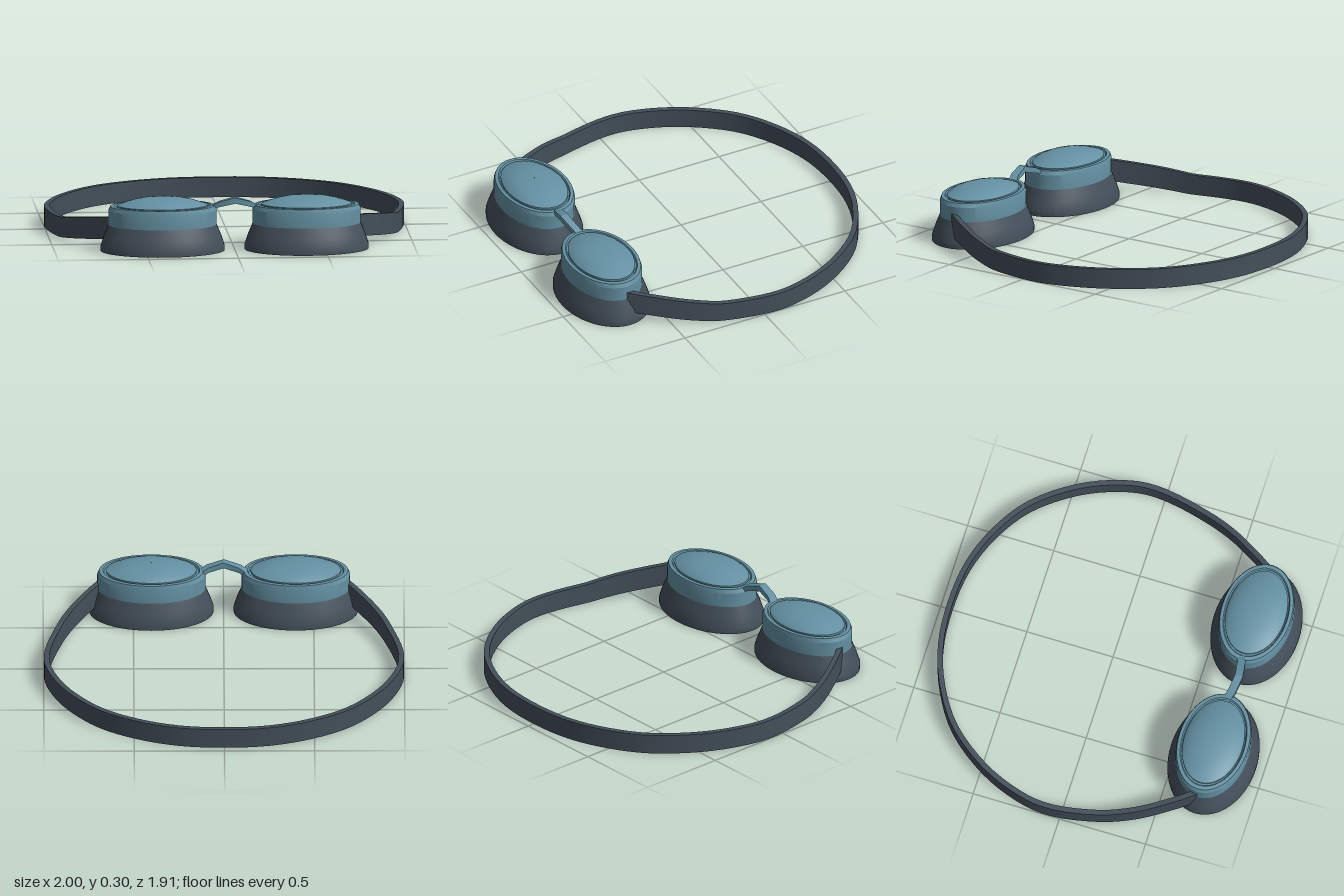
import * as THREE from 'three';
import { toCreasedNormals } from 'three/addons/utils/BufferGeometryUtils.js';

const SEGMENTS = 48;

function build(positions, indices, crease) {
  const g = new THREE.BufferGeometry();
  g.setAttribute('position', new THREE.Float32BufferAttribute(positions, 3));
  g.setIndex(indices);
  return toCreasedNormals(g, crease);
}

// Skin elliptical rings [rx, rz, y]; the outside of the profile runs upward
function ovalLoft(rings) {
  const pos = [], idx = [];
  for (const [rx, rz, y] of rings) {
    for (let j = 0; j < SEGMENTS; j++) {
      const a = (j / SEGMENTS) * Math.PI * 2;
      pos.push(rx * Math.cos(a), y, rz * Math.sin(a));
    }
  }
  for (let i = 0; i < rings.length - 1; i++) {
    for (let j = 0; j < SEGMENTS; j++) {
      const k = (j + 1) % SEGMENTS;
      const a = i * SEGMENTS + j, c = i * SEGMENTS + k;
      const b = a + SEGMENTS, d = c + SEGMENTS;
      idx.push(a, b, c, b, d, c);
    }
  }
  return build(pos, idx, 0.35);
}

// Upright rectangular band along stations { p, bottom, top }, p being (x, z)
function band(stations, thickness) {
  const pos = [], idx = [], n = stations.length, h = thickness / 2;
  stations.forEach(({ p, bottom, top }, i) => {
    const t = stations[Math.min(i + 1, n - 1)].p.clone()
      .sub(stations[Math.max(i - 1, 0)].p).normalize();
    const nx = t.y * h, nz = -t.x * h;
    pos.push(p.x - nx, bottom, p.y - nz, p.x + nx, bottom, p.y + nz,
      p.x + nx, top, p.y + nz, p.x - nx, top, p.y - nz);
  });
  for (let i = 0; i < n - 1; i++) {
    for (let j = 0; j < 4; j++) {
      const a = i * 4 + j, b = i * 4 + (j + 1) % 4;
      idx.push(a, b, a + 4, b, b + 4, a + 4);
    }
  }
  const e = (n - 1) * 4;
  idx.push(0, 2, 1, 0, 3, 2, e, e + 1, e + 2, e, e + 2, e + 3);
  return build(pos, idx, 0.5);
}

export function createModel() {
  const model = new THREE.Group();
  const rubber = new THREE.MeshStandardMaterial({ color: 0x434f5a });
  rubber.name = 'dark rubber';
  const plastic = new THREE.MeshStandardMaterial({ color: 0x6491a3 });
  plastic.name = 'blue plastic';

  const add = (parent, name, geometry, material) => {
    const mesh = new THREE.Mesh(geometry, material);
    mesh.name = name;
    parent.add(mesh);
  };

  // Flared eye seal, hollow through the middle
  const seal = ovalLoft([
    [0.285, 0.185, 0], [0.345, 0.245, 0], [0.345, 0.245, 0.025],
    [0.325, 0.225, 0.085], [0.3, 0.2, 0.145],
    [0.265, 0.165, 0.145], [0.285, 0.185, 0],
  ]);

  // Frame shell with a raised rim and recessed step
  const frame = ovalLoft([
    [0.265, 0.165, 0.145], [0.3, 0.2, 0.145], [0.3, 0.2, 0.228],
    [0.29, 0.194, 0.25], [0.268, 0.176, 0.252], [0.262, 0.17, 0.243],
    [0.24, 0.16, 0.243], [0.24, 0.16, 0.225],
    [0.265, 0.165, 0.225], [0.265, 0.165, 0.145],
  ]);

  // Shallow domed lens with a closed underside
  const lens = ovalLoft([
    [0.001, 0.001, 0.228], [0.25, 0.165, 0.228], [0.25, 0.165, 0.254],
    [0.212, 0.15, 0.267], [0.17, 0.12, 0.28], [0.12, 0.085, 0.29],
    [0.06, 0.042, 0.296], [0.001, 0.001, 0.298],
  ]);

  for (const side of [1, -1]) {
    const cup = new THREE.Group();
    cup.name = side > 0 ? 'leftCup' : 'rightCup';
    cup.position.set(side * 0.4, 0, 0.708);
    add(cup, 'eyeSeal', seal, rubber);
    add(cup, 'lensFrame', frame, plastic);
    add(cup, 'lens', lens, plastic);
    model.add(cup);
  }

  // Arched nose bridge
  const bridge = [
    [-0.135, 0.7, 0.215, 0.245], [-0.09, 0.717, 0.24, 0.27],
    [0, 0.731, 0.263, 0.296],
    [0.09, 0.717, 0.24, 0.27], [0.135, 0.7, 0.215, 0.245],
  ].map(([x, z, bottom, top]) => ({ p: new THREE.Vector2(x, z), bottom, top }));
  add(model, 'noseBridge', band(bridge, 0.045), plastic);

  // Head strap: level around the back, rising to the cups at the front
  const half = [
    [0.685, 0.7], [0.755, 0.6], [0.865, 0.41], [0.94, 0.2], [0.983, -0.05],
    [0.957, -0.25], [0.86, -0.48], [0.69, -0.7], [0.48, -0.84], [0.25, -0.922],
  ];
  const points = [
    ...half.map(([x, z]) => new THREE.Vector2(x, z)),
    new THREE.Vector2(0, -0.945),
    ...half.slice().reverse().map(([x, z]) => new THREE.Vector2(-x, z)),
  ];
  const strap = new THREE.SplineCurve(points).getPoints(80).map((p) => {
    const rise = Math.max(0, (p.y - 0.24) / 0.46);
    return { p, bottom: 0.065 * rise ** 1.15, top: 0.112 + 0.076 * rise };
  });
  add(model, 'headStrap', band(strap, 0.03), rubber);

  return model;
}
